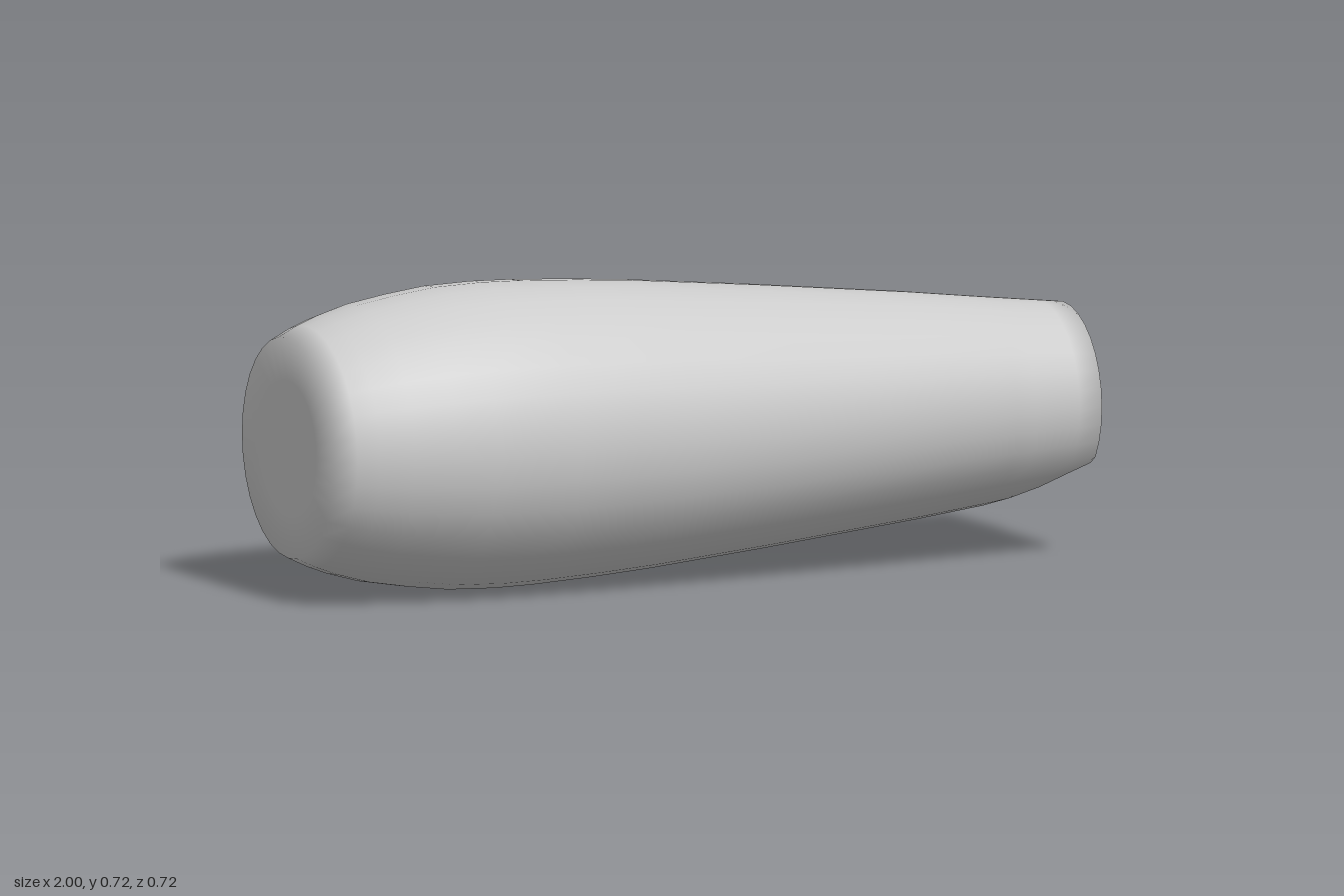
import * as THREE from 'three';
import { mergeVertices } from 'three/addons/utils/BufferGeometryUtils.js';

const AXIS = 0.362; // height of the long axis

// radius along the length, as [x, radius]
const PROFILE = [
  [-1, 0], [-1, 0.16], [-1, 0.262], [-0.95, 0.286], [-0.9, 0.305], [-0.82, 0.328], [-0.72, 0.345],
  [-0.62, 0.358], [-0.5, 0.362], [-0.4, 0.36], [-0.25, 0.352], [-0.1, 0.341], [0.2, 0.312],
  [0.6, 0.269], [0.77, 0.248], [0.82, 0.242], [0.88, 0.235], [0.94, 0.228], [1, 0.221],
  [1, 0.13], [1, 0],
];

// lowest y left by the slanted, slightly arched cut under the narrow end
function cutFloor(x, z) {
  const t = Math.max(0, (x - 0.77) / 0.23);
  const arch = 0.02 * t * Math.max(0, 1 - (z / 0.17) ** 2);
  return 0.114 + 0.104 * t + arch - AXIS;
}

export function createModel() {
  const group = new THREE.Group();
  group.name = 'taperedHandle';

  // turned body, laid along x
  const lathe = new THREE.LatheGeometry(PROFILE.map(([x, r]) => new THREE.Vector2(r, x)), 32);
  lathe.rotateZ(-Math.PI / 2);

  // flatten the underside of the narrow end
  const pos = lathe.attributes.position;
  for (let i = 0; i < pos.count; i++) {
    const x = pos.getX(i);
    if (x > 0.76) pos.setY(i, Math.max(pos.getY(i), cutFloor(x, pos.getZ(i))));
  }

  // weld the seam and shade smoothly
  lathe.deleteAttribute('normal');
  lathe.deleteAttribute('uv');
  const geometry = mergeVertices(lathe, 1e-4);
  geometry.computeVertexNormals();

  const body = new THREE.Mesh(geometry, new THREE.MeshStandardMaterial({ color: 0xcccccc }));
  body.name = 'body';
  body.position.y = AXIS;
  group.add(body);
  return group;
}
